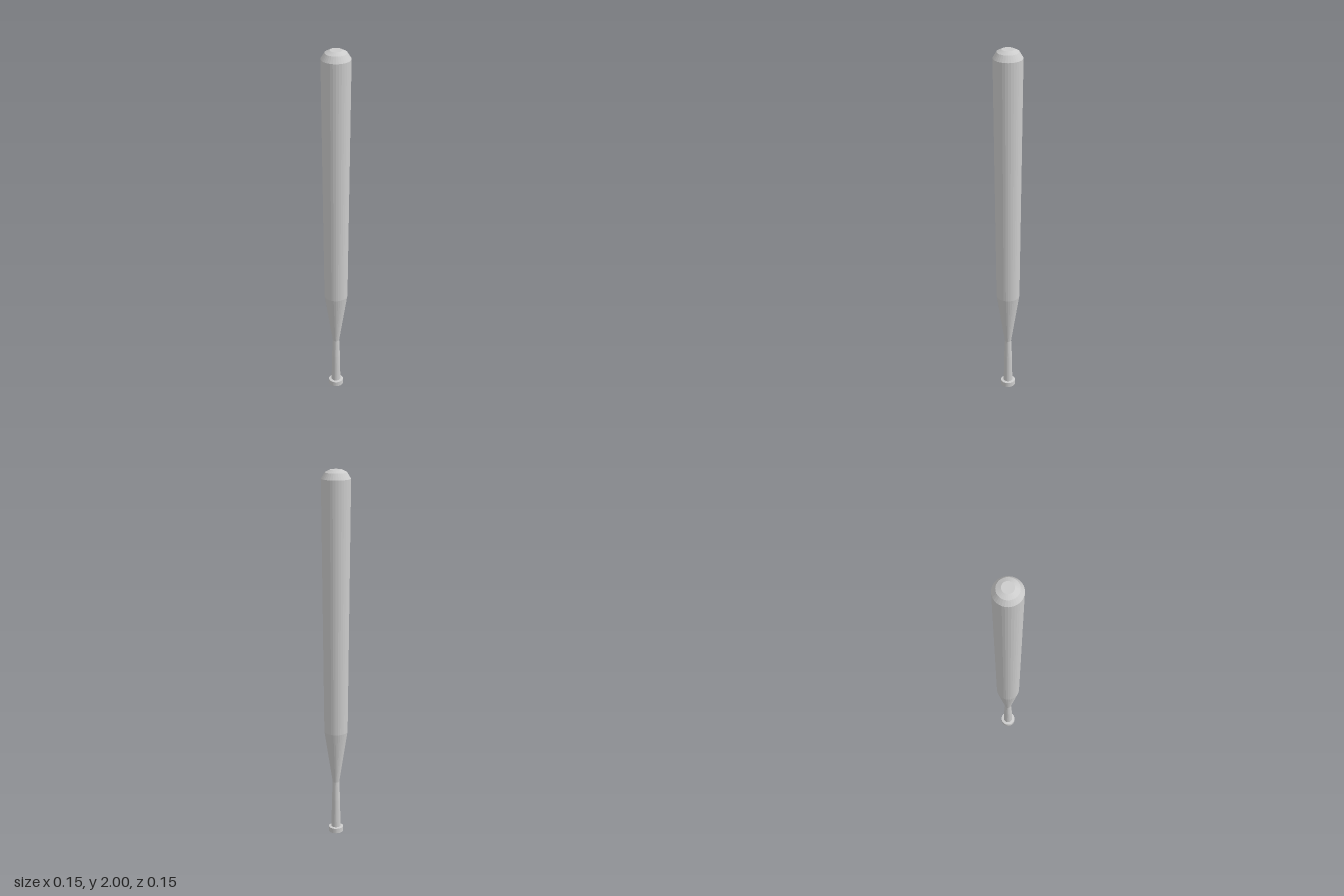
import * as THREE from 'three';

const SIDES = 32;

export function createModel() {
  const bat = new THREE.Group();
  bat.name = 'bat';
  const material = new THREE.MeshStandardMaterial({ color: 0xcccccc, flatShading: true });

  // Turns a [radius, height] profile, listed bottom to top, around the y axis
  function turned(name, profile) {
    const points = profile.map(([r, y]) => new THREE.Vector2(r, y));
    const mesh = new THREE.Mesh(new THREE.LatheGeometry(points, SIDES), material);
    mesh.name = name;
    bat.add(mesh);
  }

  // Flat disc at the butt end
  turned('knob', [[0, 0], [0.04, 0], [0.04, 0.027], [0.025, 0.029]]);
  // Slim grip, narrowing upwards
  turned('handle', [[0.025, 0.029], [0.0225, 0.19], [0.018, 0.295]]);
  // Flare from the handle to the barrel
  turned('taper', [[0.018, 0.295], [0.063, 0.59]]);
  // Long barrel, widening slightly
  turned('barrel', [[0.063, 0.59], [0.0765, 1.955]]);
  // Stepped dome with a flat tip
  turned('endCap', [[0.0765, 1.955], [0.057, 1.987], [0.032, 2], [0, 2]]);

  return bat;
}
